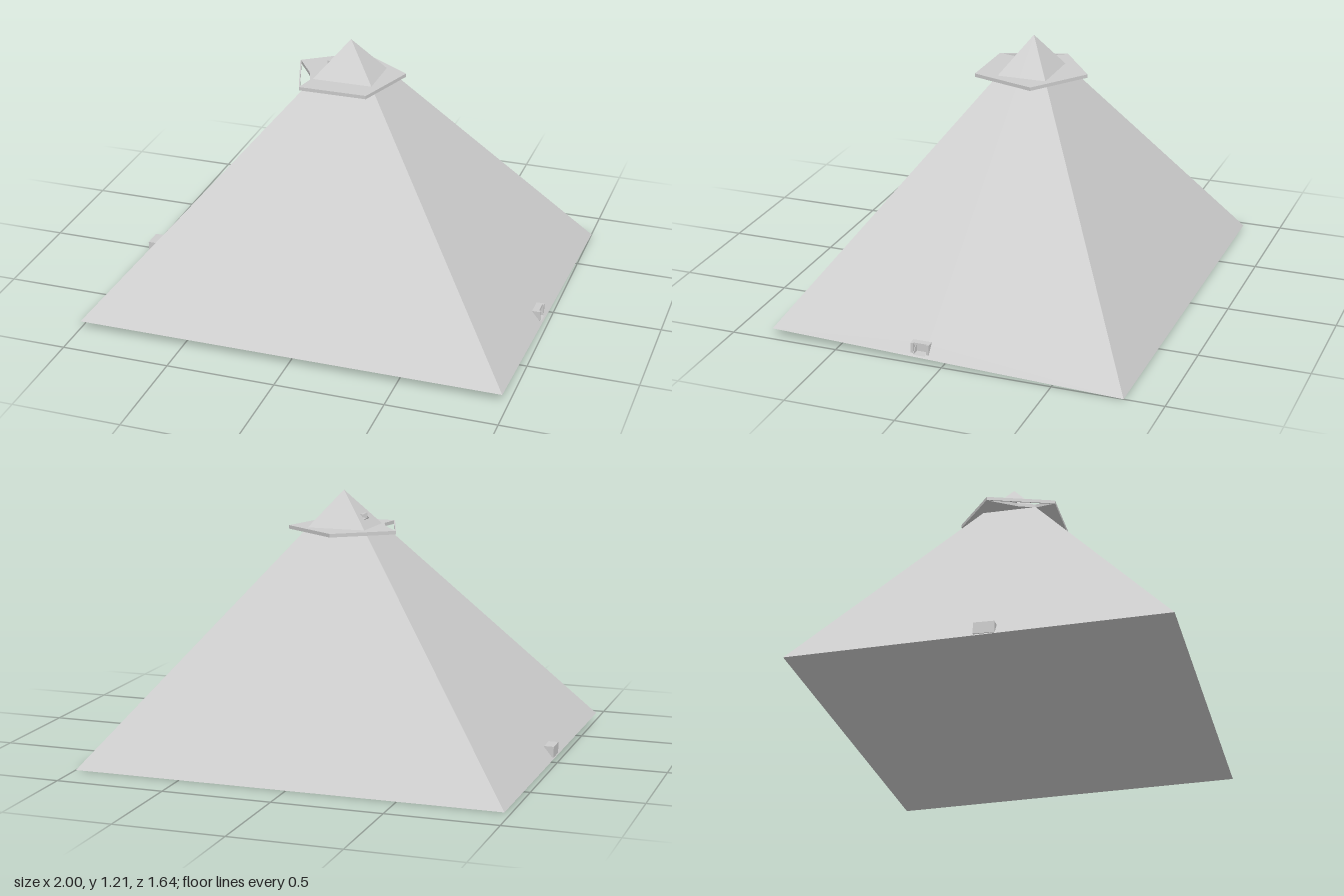
import * as THREE from 'three';

const grey = new THREE.MeshStandardMaterial({ color: 0xcccccc, flatShading: true, side: THREE.DoubleSide });
const V = (x, y, z) => new THREE.Vector3(x, y, z);

function add(group, name, geometry) {
  const mesh = new THREE.Mesh(geometry, grey);
  mesh.name = name;
  group.add(mesh);
  return mesh;
}

// Flat polygon from corners listed counter-clockwise seen from outside
function polygon(...corners) {
  const g = new THREE.BufferGeometry().setFromPoints(corners);
  const index = [];
  for (let i = 1; i < corners.length - 1; i++) index.push(0, i, i + 1);
  g.setIndex(index);
  g.computeVertexNormals();
  return g;
}

// Sloping side triangle with a rectangular opening given as [z0, z1, y0, y1]
function pierced(a, b, c, [z0, z1, y0, y1]) {
  const toShape = (p) => new THREE.Vector2(p.z, p.y);
  const shape = new THREE.Shape([a, b, c].map(toShape));
  shape.holes.push(new THREE.Path([[z0, y0], [z1, y0], [z1, y1], [z0, y1]].map((p) => new THREE.Vector2(...p))));
  const g = new THREE.ShapeGeometry(shape);
  const plane = new THREE.Plane().setFromCoplanarPoints(a, b, c);
  const { normal: n, constant: d } = plane;
  const pos = g.attributes.position;
  for (let i = 0; i < pos.count; i++) {
    const z = pos.getX(i), y = pos.getY(i);
    pos.setXYZ(i, -(n.y * y + n.z * z + d) / n.x, y, z);
  }
  // Turn the winding so that the face looks outward
  if (a.x + b.x > 0) {
    const index = g.index.array;
    for (let i = 0; i < index.length; i += 3) [index[i], index[i + 1]] = [index[i + 1], index[i]];
  }
  g.computeVertexNormals();
  return g;
}

// Box between two corners; open removes its outer side (+1 for +x, -1 for -x)
function box(x0, x1, y0, y1, z0, z1, open = 0) {
  const g = new THREE.BoxGeometry(x1 - x0, y1 - y0, z1 - z0);
  g.translate((x0 + x1) / 2, (y0 + y1) / 2, (z0 + z1) / 2);
  if (open) {
    const skip = open > 0 ? 0 : 6;
    g.setIndex([...g.index.array].filter((v, i) => i < skip || i >= skip + 6));
    g.clearGroups();
  }
  return g;
}

export function createModel() {
  const model = new THREE.Group();
  model.name = 'pyramid';

  // Pyramid body on a slightly tilted base
  const apex = V(0, 1.205, -0.055);
  const frontLeft = V(0.97, 0.035, 0.82), frontRight = V(-1, 0.035, 0.82);
  const backLeft = V(1, 0, -0.82), backRight = V(-0.97, 0, -0.82);
  add(model, 'frontFace', polygon(frontRight, frontLeft, apex));
  add(model, 'backFace', polygon(backLeft, backRight, apex));
  add(model, 'leftFace', pierced(frontLeft, backLeft, apex, [0.085, 0.14, 0.027, 0.07]));
  add(model, 'rightFace', pierced(backRight, frontRight, apex, [-0.08, -0.02, 1.075, 1.1]));
  add(model, 'base', polygon(backRight, backLeft, frontLeft, frontRight));

  // Pentagonal platform around the summit, with a slit along one edge
  const outline = [[-0.02, -0.305], [0.24, -0.125], [0.145, 0.175], [-0.17, 0.175], [-0.27, -0.125]];
  const slit = [[-0.262, -0.12], [-0.18, 0], [-0.15, 0.08], [-0.168, 0.165]];
  const flat = (points) => points.map(([x, z]) => new THREE.Vector2(x, -z));
  const shape = new THREE.Shape(flat(outline));
  shape.holes.push(new THREE.Path(flat(slit)));
  const slab = new THREE.ExtrudeGeometry(shape, { depth: 0.016, bevelEnabled: false });
  slab.rotateX(-Math.PI / 2).translate(0, 1.024, 0);
  add(model, 'platform', slab);

  // Doorway with an open front and jambs
  add(model, 'doorway', box(0.93, 0.965, 0.025, 0.072, 0.083, 0.142, 1));
  for (const z of [0.07, 0.142]) add(model, 'doorJamb', box(0.935, 0.972, 0.025, 0.08, z, z + 0.013));
  add(model, 'doorLintel', box(0.935, 0.965, 0.07, 0.08, 0.07, 0.155));

  // Closed entrance block on the opposite side
  add(model, 'entranceBlock', box(-0.985, -0.94, 0.025, 0.075, -0.01, 0.08));

  // Recessed summit window
  add(model, 'windowRecess', box(-0.1, -0.07, 1.075, 1.1, -0.08, -0.02, -1));

  return model;
}
